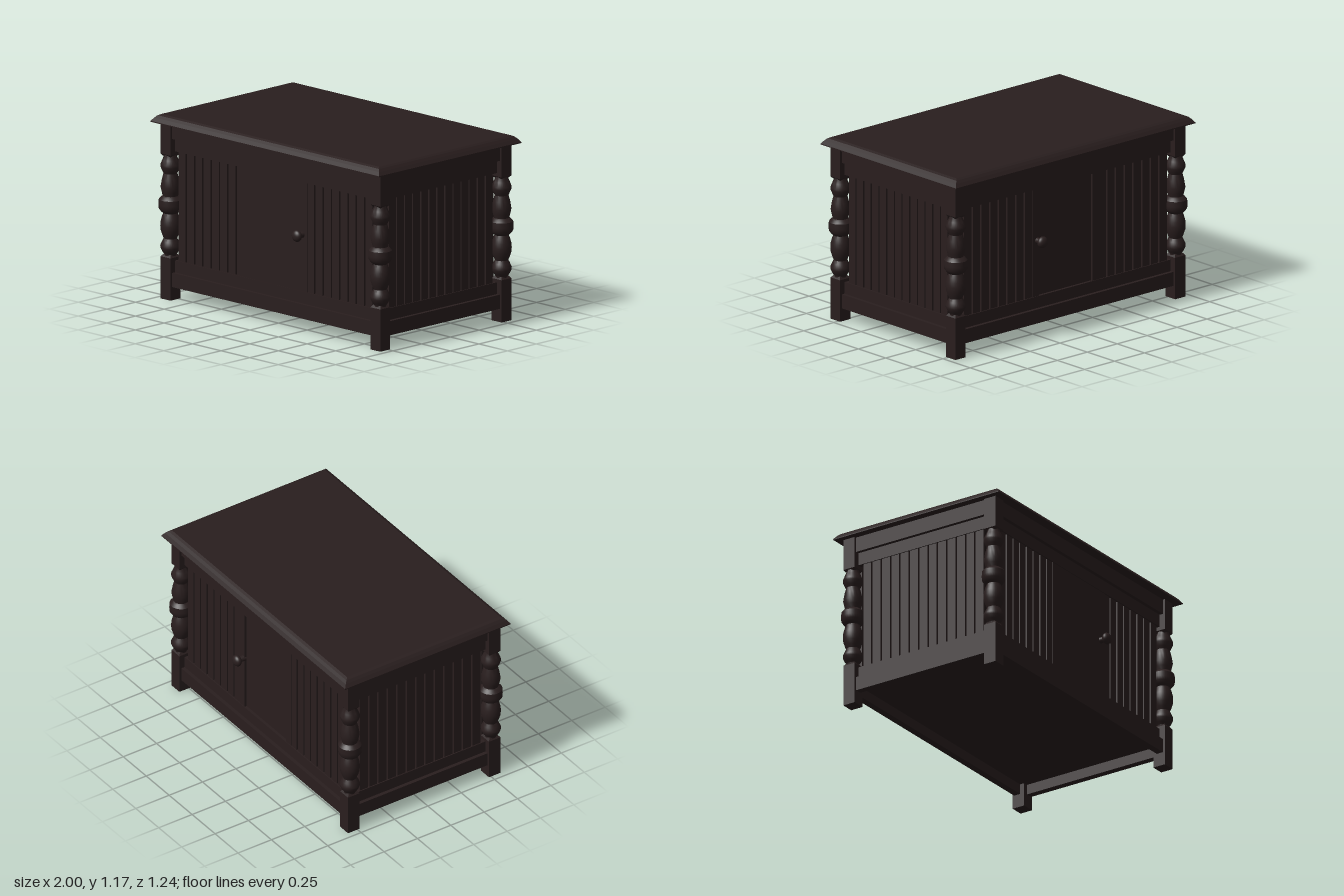
import * as THREE from 'three';
import { ConvexGeometry } from 'three/addons/geometries/ConvexGeometry.js';
import { toCreasedNormals } from 'three/addons/utils/BufferGeometryUtils.js';

const wood = new THREE.MeshStandardMaterial({ color: 0x291e1e });
wood.name = 'dark wood';

function add(parent, name, geometry, x = 0, y = 0, z = 0) {
  const mesh = new THREE.Mesh(geometry, wood);
  mesh.name = name;
  mesh.position.set(x, y, z);
  parent.add(mesh);
  return mesh;
}

// Box given by its width, vertical range and depth
function board(parent, name, w, y0, y1, d, x, z) {
  return add(parent, name, new THREE.BoxGeometry(w, y1 - y0, d), x, (y0 + y1) / 2, z);
}

// Convex solid from stacked rectangles [y, halfX, halfZ]
function stacked(rings) {
  const pts = [];
  for (const [y, hx, hz] of rings)
    for (const sx of [-1, 1]) for (const sz of [-1, 1]) pts.push(new THREE.Vector3(sx * hx, y, sz * hz));
  return new ConvexGeometry(pts);
}

// Turned middle of a post: [radius, y]
const turning = [
  [0.036, 0.26], [0.038, 0.285], [0.05, 0.3], [0.062, 0.325], [0.063, 0.34], [0.052, 0.365],
  [0.042, 0.385], [0.05, 0.405], [0.06, 0.435], [0.063, 0.465], [0.06, 0.495], [0.052, 0.525],
  [0.044, 0.545], [0.058, 0.556], [0.072, 0.575], [0.074, 0.6], [0.072, 0.632], [0.058, 0.648],
  [0.048, 0.655], [0.054, 0.68], [0.061, 0.712], [0.053, 0.76], [0.043, 0.798],
  [0.051, 0.815], [0.062, 0.84], [0.062, 0.855], [0.05, 0.885], [0.041, 0.905], [0.037, 0.93],
].map(([r, y]) => new THREE.Vector2(r, y));

function makePost() {
  const post = new THREE.Group();
  post.name = 'cornerPost';
  const h = 0.043;
  add(post, 'foot', stacked([[0, h, h], [0.268, h, h], [0.285, 0.03, 0.03]]));
  add(post, 'turnedColumn', toCreasedNormals(new THREE.LatheGeometry(turning, 32), 0.6));
  add(post, 'head', stacked([[0.908, 0.032, 0.032], [0.922, h, h], [1.125, h, h]]));
  return post;
}

// Upper and lower rails of one side, facing +z with its outer face at depth z
function addRails(side, width, z) {
  board(side, 'topApron', width, 1.027, 1.125, 0.045, 0, z - 0.0225);
  board(side, 'topRail', width, 0.945, 1.03, 0.03, 0, z - 0.039);
  board(side, 'bottomRail', width, 0.17, 0.25, 0.03, 0, z - 0.039);
  board(side, 'bottomApron', width, 0.085, 0.175, 0.045, 0, z - 0.0225);
}

function addSlats(side, first, count, pitch, width, z) {
  for (let i = 0; i < count; i++)
    board(side, 'slat', width, 0.24, 0.955, 0.018, first + i * pitch, z - 0.04);
}

// Long side with two sets of slats around a doorway
function makeLongSide(knobX) {
  const side = new THREE.Group();
  const z = 0.558;
  addRails(side, 1.745, z);
  addSlats(side, -0.817, 8, 0.0727, 0.06, z);
  addSlats(side, 0.308, 8, 0.0727, 0.06, z);
  const stem = add(side, 'knobStem', new THREE.CylinderGeometry(0.017, 0.02, 0.05, 20), knobX, 0.61, z - 0.014);
  stem.rotation.x = Math.PI / 2;
  const knob = add(side, 'knob', new THREE.SphereGeometry(0.037, 24, 16), knobX, 0.61, z + 0.02);
  knob.scale.z = 0.7;
  return side;
}

// Short side filled with slats
function makeShortSide() {
  const side = new THREE.Group();
  const z = 0.948;
  addRails(side, 0.966, z);
  addSlats(side, -0.422, 13, 0.0703, 0.059, z);
  return side;
}

export function createModel() {
  const model = new THREE.Group();
  model.name = 'slattedCrateTable';

  // Table top with a rounded-over edge
  const edge = [[1.125, 0], [1.131, 0], [1.152, 0.016], [1.167, 0.031], [1.175, 0.048]];
  add(model, 'tableTop', stacked(edge.map(([y, d]) => [y, 1 - d, 0.62 - d])));

  // Corner posts
  for (const sx of [-1, 1]) for (const sz of [-1, 1]) {
    const post = makePost();
    post.position.set(sx * 0.918, 0, sz * 0.528);
    model.add(post);
  }

  // Front: one flat door filling the doorway
  const front = makeLongSide(0.238);
  front.name = 'frontSide';
  board(front, 'door', 0.558, 0.245, 0.95, 0.022, 0, 0.519);

  // Back: stiles around a slightly recessed panel, knob also towards +x
  const back = makeLongSide(-0.238);
  back.name = 'backSide';
  back.rotation.y = Math.PI;
  for (const s of [-1, 1]) board(back, 'doorStile', 0.055, 0.245, 0.95, 0.022, s * 0.2515, 0.519);
  board(back, 'doorPanel', 0.452, 0.245, 0.95, 0.014, 0, 0.508);

  const left = makeShortSide();
  left.name = 'leftSide';
  left.rotation.y = Math.PI / 2;
  const right = makeShortSide();
  right.name = 'rightSide';
  right.rotation.y = -Math.PI / 2;
  model.add(front, back, left, right);

  // Floor panel raised inside the lower aprons
  board(model, 'floor', 1.745, 0.15, 0.172, 1.03, 0, 0);
  for (const s of [-1, 1]) board(model, 'floorEdge', 0.04, 0.15, 0.172, 0.966, s * 0.89, 0);
  return model;
}
